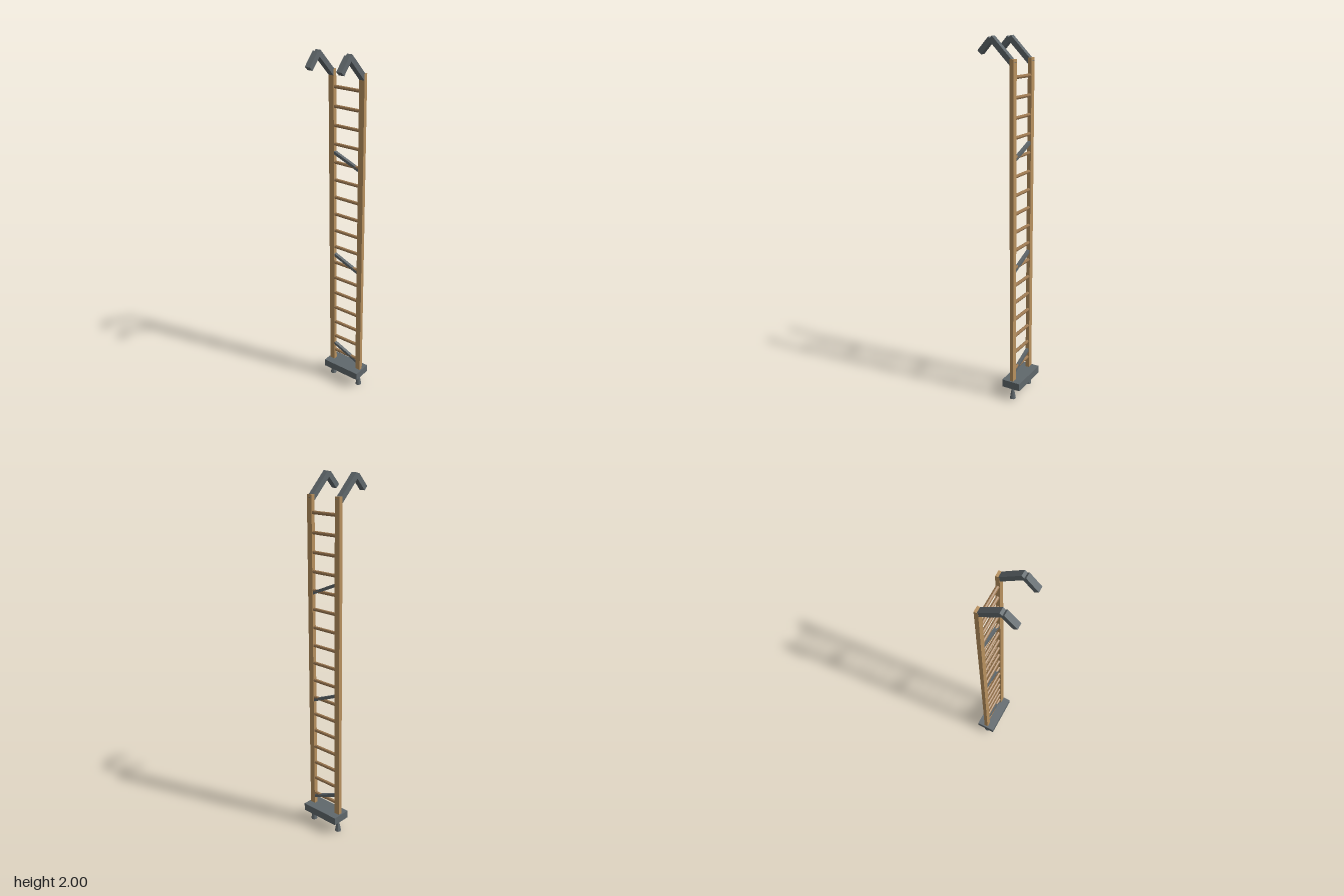
import * as THREE from 'three';

const wood = new THREE.MeshStandardMaterial({ color: 0xb8915f });
const rungWood = new THREE.MeshStandardMaterial({ color: 0x9c7850 });
const metal = new THREE.MeshStandardMaterial({ color: 0x60686c });
for (const m of [wood, rungWood, metal]) m.flatShading = true;

const RAIL_X = 0.095; // rail offset from the middle
const Z = -0.071;     // plane of the ladder

export function createModel() {
  const ladder = new THREE.Group();
  ladder.name = 'hookLadder';

  const add = (name, geometry, material, x, y, z) => {
    const mesh = new THREE.Mesh(geometry, material);
    mesh.name = name;
    mesh.position.set(x, y, z);
    ladder.add(mesh);
    return mesh;
  };
  const box = (w, h, d) => new THREE.BoxGeometry(w, h, d);

  // Base block
  add('base', box(0.24, 0.044, 0.11), metal, 0, 0.093, Z);

  for (const [side, s] of [['left', 1], ['right', -1]]) {
    const x = s * RAIL_X;

    // Upright and its spiked foot
    add(side + 'Rail', box(0.032, 1.785, 0.022), wood, x, 0.9975, Z);
    add(side + 'Foot', new THREE.CylinderGeometry(0.005, 0.018, 0.071, 8), metal, x, 0.0355, Z);

    // Hook: an arm rising forward and a tip bent down
    const arm = add(side + 'HookArm', box(0.0315, 0.028, 0.176), metal, x, 1.9275, -0.0105);
    arm.rotation.x = -Math.PI / 4;
    const tip = add(side + 'HookTip', box(0.0315, 0.028, 0.092), metal, x, 1.952, 0.084);
    tip.rotation.x = 0.82;
  }

  // Rungs
  const rung = new THREE.CylinderGeometry(0.0095, 0.0095, 0.165, 8).rotateZ(Math.PI / 2);
  for (let i = 0; i < 17; i++) {
    add('rung' + (i + 1), rung, rungWood, 0, 0.18 + i * 0.1013, Z);
  }

  // Slanted metal braces between the rails
  for (let i = 0; i < 3; i++) {
    const brace = add('brace' + (i + 1), box(0.182, 0.016, 0.018), metal, 0, 0.195 + i * 0.611, Z);
    brace.rotation.z = -0.39;
  }

  return ladder;
}
